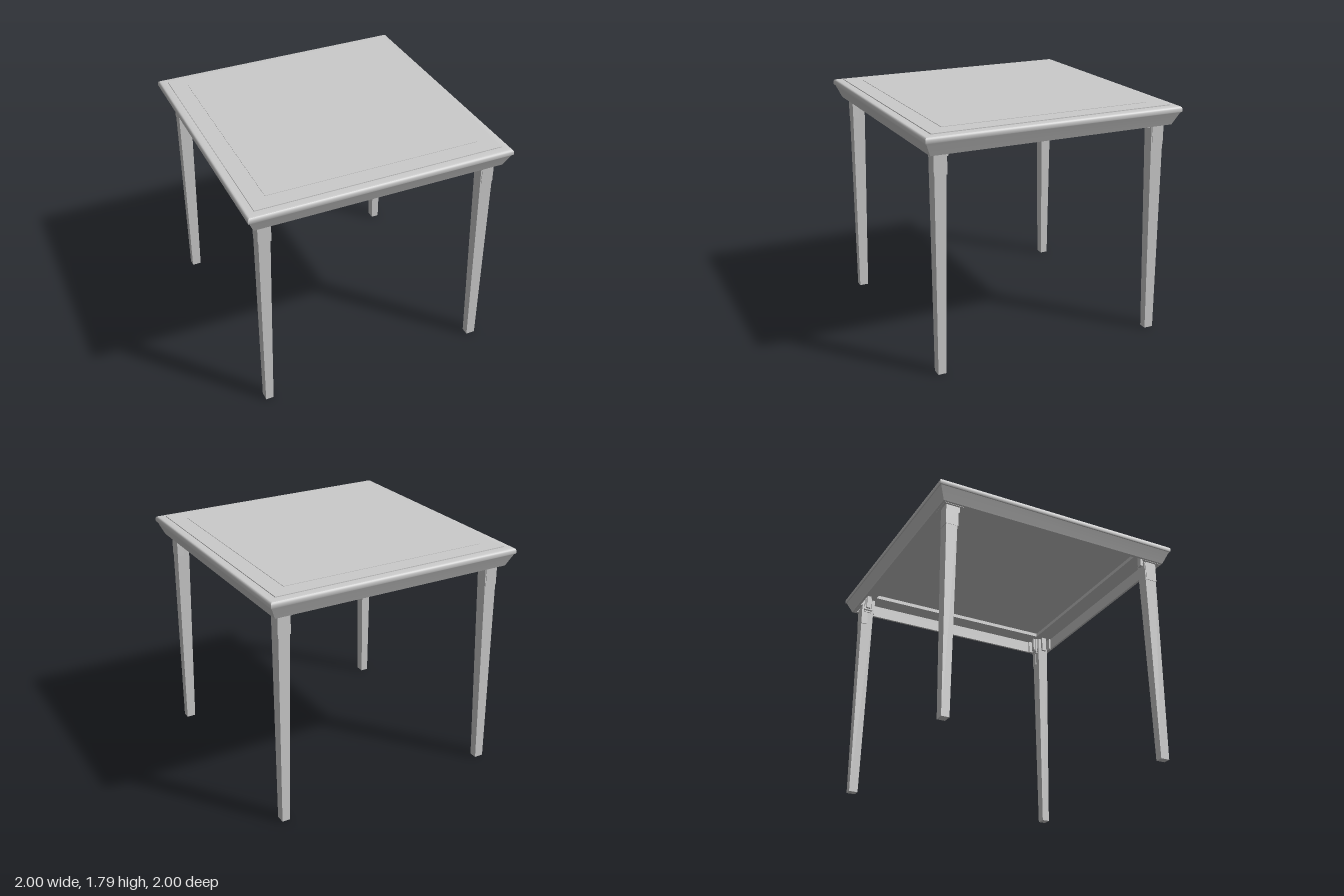
import * as THREE from 'three';
import { toCreasedNormals } from 'three/addons/utils/BufferGeometryUtils.js';

const material = new THREE.MeshStandardMaterial({ color: 0xcccccc });
const LEDGE = 1.735; // height of the ledge inside the frame

function add(parent, name, geometry) {
  const mesh = new THREE.Mesh(geometry, material);
  mesh.name = name;
  parent.add(mesh);
  return mesh;
}

// Box given by its limits on each axis
function box(x0, x1, y0, y1, z0, z1) {
  return new THREE.BoxGeometry(x1 - x0, y1 - y0, z1 - z0)
    .translate((x0 + x1) / 2, (y0 + y1) / 2, (z0 + z1) / 2);
}

// Square solid swept from a profile of [half width, height]
function squareLathe(profile) {
  const points = profile.map(([r, y]) => new THREE.Vector2(r * Math.SQRT2, y));
  return toCreasedNormals(new THREE.LatheGeometry(points, 4, Math.PI / 4), 0.55);
}

// Straight outer faces; the two inner faces taper towards the foot
function legGeometry() {
  const geometry = new THREE.BoxGeometry(1, 1, 1);
  const p = geometry.attributes.position;
  for (let i = 0; i < p.count; i++) {
    const top = p.getY(i) > 0;
    const x = p.getX(i) < 0 ? -0.905 : top ? -0.815 : -0.845;
    const z = p.getZ(i) > 0 ? 0.905 : top ? 0.805 : 0.835;
    p.setXYZ(i, x, top ? 1.635 : 0, z);
  }
  geometry.computeVertexNormals();
  return geometry;
}

function createLeg() {
  const leg = new THREE.Group();
  leg.name = 'leg';
  add(leg, 'legPost', legGeometry());
  add(leg, 'legHead', box(-0.9, -0.825, 1.63, LEDGE, 0.82, 0.9));
  // Thin metal sleeve wrapped round the outer corner
  add(leg, 'sleeveSide', box(-0.909, -0.88, 1.48, 1.64, 0.815, 0.907));
  add(leg, 'sleeveFront', box(-0.909, -0.811, 1.48, 1.64, 0.855, 0.907));
  // Folding hinge on the inner faces
  add(leg, 'hingePlate', box(-0.82, -0.805, 1.59, LEDGE, 0.83, 0.885));
  add(leg, 'hingeLug', box(-0.81, -0.785, 1.625, LEDGE, 0.84, 0.875));
  add(leg, 'hingeCatch', box(-0.885, -0.845, 1.61, LEDGE, 0.785, 0.81));
  const pin = add(leg, 'hingePin', new THREE.CylinderGeometry(0.009, 0.009, 0.07, 10));
  pin.rotation.x = Math.PI / 2;
  pin.position.set(-0.803, 1.612, 0.857);
  // Corner bracket lining the frame
  add(leg, 'bracketSide', box(-0.932, -0.916, 1.632, LEDGE, 0.78, 0.932));
  add(leg, 'bracketFront', box(-0.932, -0.78, 1.632, LEDGE, 0.916, 0.932));
  return leg;
}

export function createModel() {
  const table = new THREE.Group();
  table.name = 'foldingTable';

  // Top: recessed underside, sloping apron, rounded rim, raised panel
  add(table, 'tableTop', squareLathe([
    [0, 1.765], [0.79, 1.765], [0.79, LEDGE], [0.93, LEDGE], [0.93, 1.635],
    [0.948, 1.635], [0.99, 1.73], [0.997, 1.732], [1, 1.738], [1, 1.758],
    [0.997, 1.767], [0.99, 1.774], [0.98, 1.777], [0.935, 1.777],
    [0.935, 1.783], [0.81, 1.783], [0.81, 1.786], [0, 1.786],
  ]));

  // Four legs, each a quarter turn from the last
  for (let i = 0; i < 4; i++) {
    const leg = createLeg();
    leg.rotation.y = (i * Math.PI) / 2;
    table.add(leg);
  }
  return table;
}
